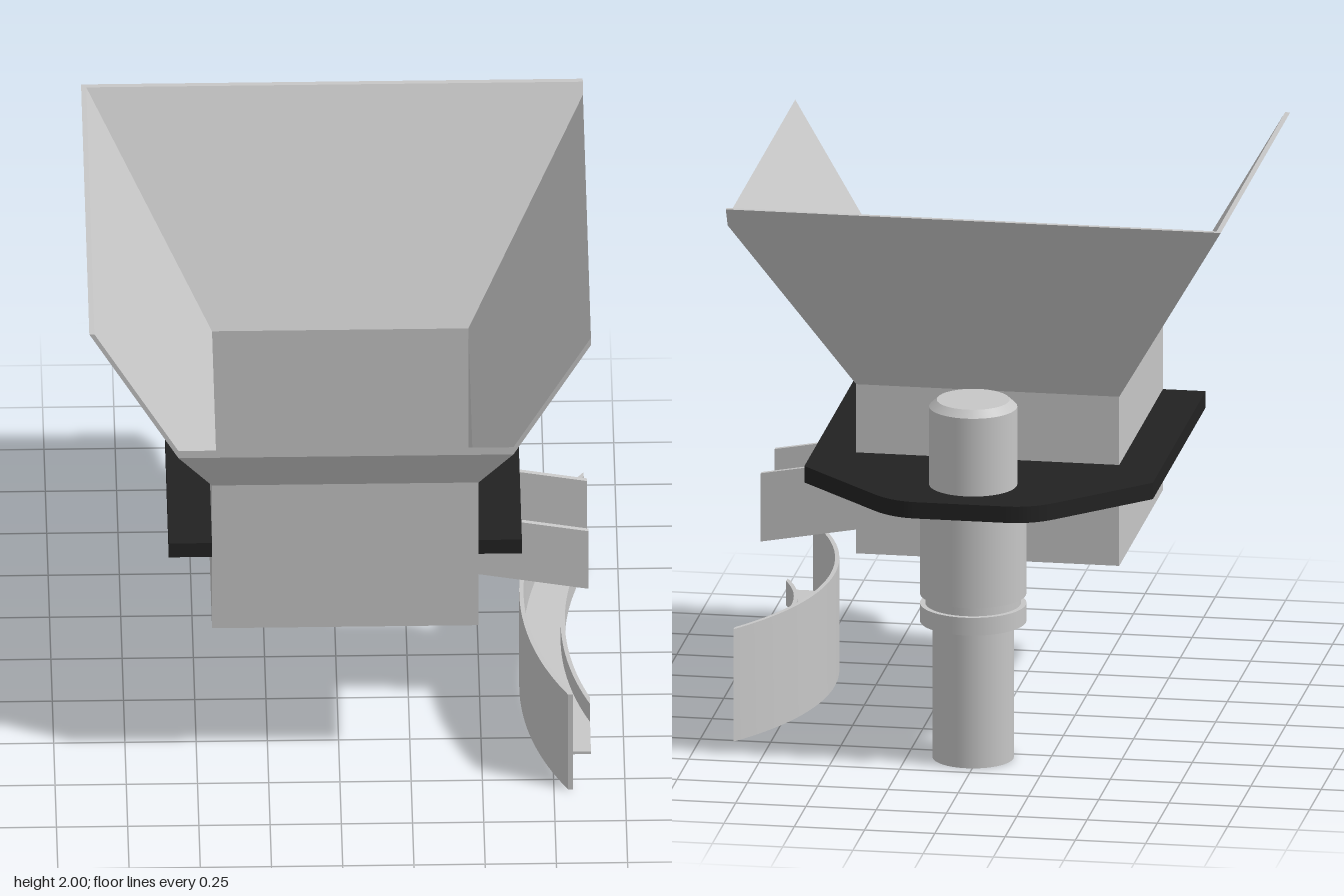
import * as THREE from 'three';
import { toCreasedNormals } from 'three/addons/utils/BufferGeometryUtils.js';

const X_CUT = 0.88, Z_CUT = 0.81;   // planes where the hopper and guide are trimmed

export function createModel() {
  const model = new THREE.Group();
  const metal = new THREE.MeshStandardMaterial({ color: 0xc6c6c6, side: THREE.DoubleSide });
  metal.name = 'bare metal';
  const black = new THREE.MeshStandardMaterial({ color: 0x222222 });
  black.name = 'black plate';

  const add = (name, geometry, material = metal, parent = model) => {
    const mesh = new THREE.Mesh(geometry, material);
    mesh.name = name;
    parent.add(mesh);
    return mesh;
  };
  const group = (name) => {
    const g = new THREE.Group();
    g.name = name;
    model.add(g);
    return g;
  };
  const block = (name, x0, x1, y0, y1, z0, z1, parent) => {
    const m = add(name, new THREE.BoxGeometry(x1 - x0, y1 - y0, z1 - z0), metal, parent);
    m.position.set((x0 + x1) / 2, (y0 + y1) / 2, (z0 + z1) / 2);
  };
  const outline = (pts) => new THREE.Shape(pts.map(([x, y]) => new THREE.Vector2(x, y)));
  // Flat polygons, each split as a fan
  const polygons = (polys) => {
    const pos = [];
    for (const p of polys)
      for (let i = 1; i < p.length - 1; i++) pos.push(...p[0], ...p[i], ...p[i + 1]);
    const g = new THREE.BufferGeometry();
    g.setAttribute('position', new THREE.Float32BufferAttribute(pos, 3));
    g.computeVertexNormals();
    return g;
  };

  // Hopper: square funnel with 30 degree walls, trimmed on the front and right
  const CX = 0.02, CZ = 0.222, OUT = 0.468, IN = 0.45, BASE = 1.25, TOP = 2;
  const SLOPE = Math.tan(Math.PI / 6);
  const shell = (h) => {
    const c = (sx, sz, y) => {
      const d = h + (y - BASE) * SLOPE;
      return [CX + sx * d, y, CZ + sz * d];
    };
    const yFront = BASE + (Z_CUT - CZ - h) / SLOPE;
    const yRight = BASE + (X_CUT - CX - h) / SLOPE;
    const backLeft = c(-1, -1, TOP);
    const frontLeft = [backLeft[0], TOP, Z_CUT];
    const backRight = [X_CUT, TOP, backLeft[2]];
    const rim = [c(-1, 1, yFront), c(1, 1, yFront), [X_CUT, yRight, Z_CUT],
      c(1, -1, yRight), backRight, backLeft, frontLeft];
    const b = [c(-1, 1, BASE), c(1, 1, BASE), c(1, -1, BASE), c(-1, -1, BASE)];
    const walls = [
      [b[0], b[1], rim[1], rim[0]],
      [b[1], b[2], rim[3], rim[2], rim[1]],
      [b[2], b[3], rim[5], rim[4], rim[3]],
      [b[3], b[0], rim[0], rim[6], rim[5]],
    ];
    return { rim, walls };
  };
  const outer = shell(OUT), inner = shell(IN);
  const hopper = group('hopper');
  add('hopperOuter', polygons(outer.walls), metal, hopper);
  add('hopperInner', polygons(inner.walls.map((w) => [...w].reverse())), metal, hopper);
  add('hopperRim', polygons(outer.rim.map((p, i) => {
    const j = (i + 1) % outer.rim.length;
    return [p, outer.rim[j], inner.rim[j], inner.rim[i]];
  })), metal, hopper);

  // Square bin under the hopper, with an outlet in its right wall
  const bin = group('bin');
  const xl = CX - OUT, xr = CX + OUT, zb = CZ - OUT, zf = CZ + OUT, t = OUT - IN, FLOOR = 0.63;
  block('binFloor', xl, xr, FLOOR, FLOOR + t, zb, zf, bin);
  block('binFront', xl, xr, FLOOR + t, BASE, zf - t, zf, bin);
  block('binBack', xl, xr, FLOOR + t, BASE, zb, zb + t, bin);
  block('binLeft', xl, xl + t, FLOOR + t, BASE, zb + t, zf - t, bin);
  const C0 = 0.07, C1 = 0.385, CW = 0.016;   // chute z range and wall thickness
  const wall = outline([[-zf + t, FLOOR + t], [-zb - t, FLOOR + t], [-zb - t, BASE], [-zf + t, BASE]]);
  wall.holes.push(outline([[-C1 + CW, FLOOR + t + 0.002], [-C1 + CW, 0.88],
    [-C0 - CW, 0.88], [-C0 - CW, FLOOR + t + 0.002]]));
  const wallGeo = new THREE.ExtrudeGeometry(wall, { depth: t, bevelEnabled: false });
  wallGeo.rotateY(Math.PI / 2);
  add('binRight', wallGeo, metal, bin).position.x = xr - t;

  // Sloping open chute
  const chute = group('chute');
  const slanted = (name, y0, y1, z0, z1) => {
    const s = outline([[xr, y0], [X_CUT, y0 - 0.07], [X_CUT, y1 - 0.07], [xr, y1]]);
    const g = new THREE.ExtrudeGeometry(s, { depth: z1 - z0, bevelEnabled: false });
    add(name, g, metal, chute).position.z = z0;
  };
  slanted('chuteFloor', FLOOR, FLOOR + 0.02, C0 + CW, C1 - CW);
  slanted('chuteBackWall', FLOOR, 0.88, C0, C0 + CW);
  slanted('chuteFrontWall', FLOOR, 0.88, C1 - CW, C1);

  // Mounting plate wrapped around three sides of the bin
  const plate = new THREE.Shape();
  plate.moveTo(-0.6, -zf);
  plate.lineTo(xl, -zf);
  plate.lineTo(xl, -zb);
  plate.lineTo(xr, -zb);
  plate.lineTo(xr, -zf);
  plate.lineTo(0.64, -zf);
  plate.lineTo(0.64, 0.44);
  plate.lineTo(0.34, 0.74);
  plate.quadraticCurveTo(0.27, 0.81, 0.18, 0.81);
  plate.lineTo(-0.14, 0.81);
  plate.quadraticCurveTo(-0.23, 0.81, -0.3, 0.74);
  plate.lineTo(-0.6, 0.44);
  const plateGeo = new THREE.ExtrudeGeometry(plate, { depth: 0.06, bevelEnabled: false });
  plateGeo.rotateX(-Math.PI / 2);
  add('mountingPlate', plateGeo, black).position.y = 0.94;

  // Motor standing through the plate: [name, bottom radius, top radius, y0, y1]
  const motor = group('motor');
  motor.position.set(0.02, 0, -0.557);
  const drums = [
    ['motorCollar', 0.187, 0.187, 0.5, 0.565],
    ['motorGroove', 0.168, 0.168, 0.565, 0.6],
    ['motorBody', 0.187, 0.187, 0.6, 0.94],
    ['motorHead', 0.155, 0.155, 0.94, 1.285],
    ['motorCap', 0.155, 0.128, 1.285, 1.31],
  ];
  for (const [name, r0, r1, y0, y1] of drums)
    add(name, new THREE.CylinderGeometry(r1, r0, y1 - y0, 48), metal, motor).position.y = (y0 + y1) / 2;
  add('motorTube', new THREE.CylinderGeometry(0.143, 0.143, 0.5, 48, 1, true), metal, motor).position.y = 0.25;

  // Curved guide: a band between two radii about a vertical axis, trimmed by the cut planes
  const AX = 1.85, AZ = 0.21;
  const band = (r1, r2, bottom, top) => {
    const reach = (r) => Math.sqrt(r * r - (AX - X_CUT) ** 2);
    const xAt = (r, z) => Math.min(X_CUT, AX - Math.sqrt(Math.max(0, r * r - (z - AZ) ** 2)));
    const zMin = AZ - reach(r1), zMax = Math.min(Z_CUT, AZ + reach(r1));
    const zs = [AZ - reach(r2), AZ + reach(r2)].filter((z) => z > zMin && z < zMax);
    for (let i = 0; i <= 40; i++) zs.push(zMin + (zMax - zMin) * i / 40);
    zs.sort((a, b) => a - b);
    const rings = zs.map((z) => {
      const a = xAt(r1, z), b = xAt(r2, z), lo = bottom(z), hi = top(z);
      return [[a, lo, z], [b, lo, z], [b, hi, z], [a, hi, z]];
    });
    const faces = [[...rings[0]].reverse(), rings[rings.length - 1]];
    for (let i = 0; i < rings.length - 1; i++)
      for (let k = 0; k < 4; k++) {
        const n = (k + 1) % 4;
        faces.push([rings[i][k], rings[i][n], rings[i + 1][n], rings[i + 1][k]]);
      }
    return toCreasedNormals(polygons(faces), 0.4);
  };
  const ramp = (lift) => (z) => 0.152 + 0.066 * (Z_CUT - z) + lift;
  const guide = group('curvedGuide');
  add('guideWall', band(1.21, 1.195, () => 0, () => 0.412), metal, guide);
  add('guideRamp', band(1.195, 1.05, ramp(0), ramp(0.012)), metal, guide);
  add('guideLip', band(1.065, 1.05, ramp(0.012), ramp(0.09)), metal, guide);

  return model;
}
